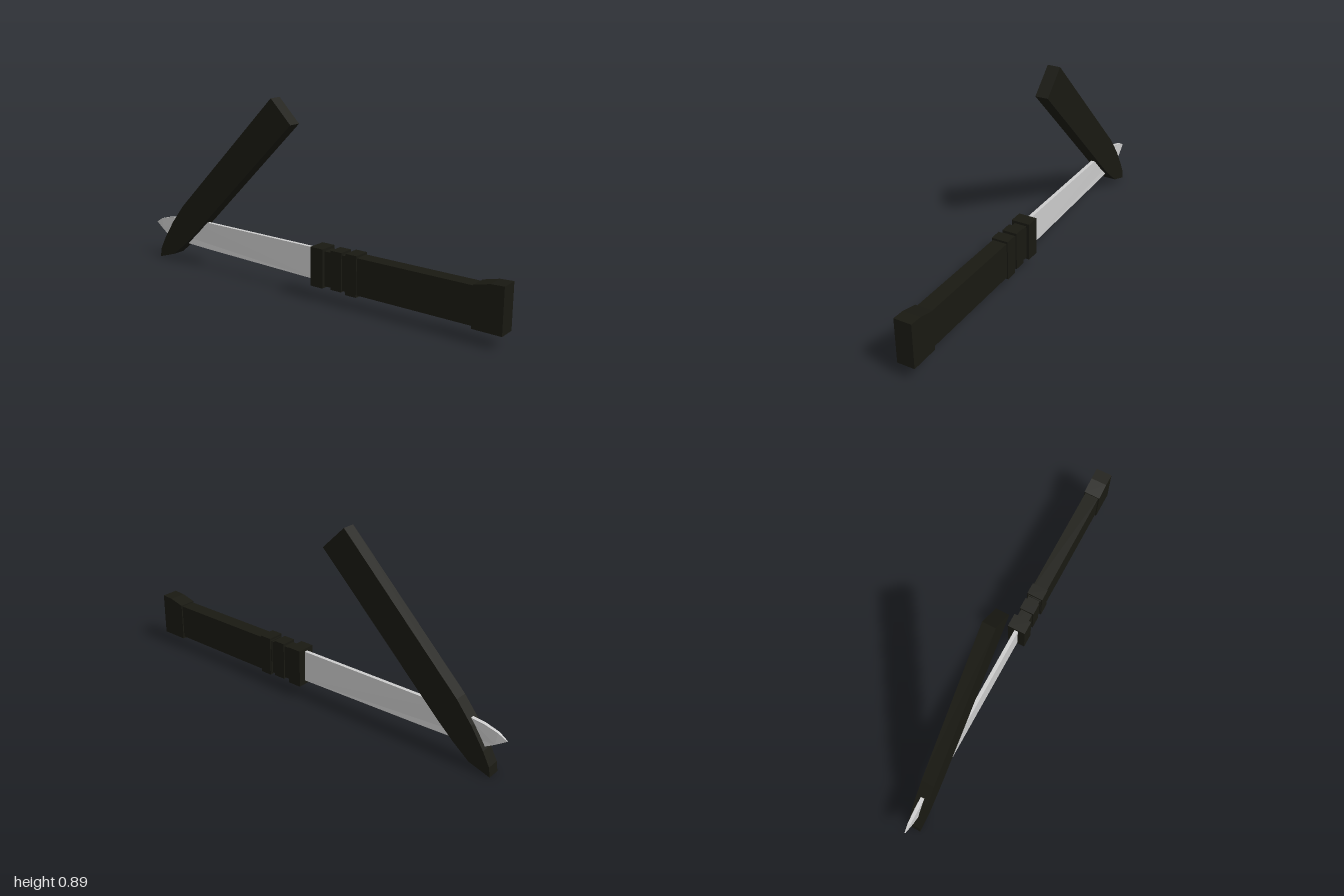
import * as THREE from 'three';

const black = new THREE.MeshStandardMaterial({ color: 0x191912, flatShading: true });
const steel = new THREE.MeshStandardMaterial({ color: 0xcccccc, flatShading: true });

// Side profile given as [z, y] points, extruded symmetrically across x
function slab(name, points, halfWidth, material) {
  const shape = new THREE.Shape(points.map(([z, y]) => new THREE.Vector2(-z, y)));
  const geometry = new THREE.ExtrudeGeometry(shape, { depth: 2 * halfWidth, bevelEnabled: false });
  geometry.translate(0, 0, -halfWidth).rotateY(Math.PI / 2);
  const mesh = new THREE.Mesh(geometry, material);
  mesh.name = name;
  return mesh;
}

// Rectangular block between two z and two y values
function block(name, z0, z1, y0, y1, halfWidth) {
  const mesh = new THREE.Mesh(new THREE.BoxGeometry(2 * halfWidth, y1 - y0, z1 - z0), black);
  mesh.position.set(0, (y0 + y1) / 2, (z0 + z1) / 2);
  mesh.name = name;
  return mesh;
}

export function createModel() {
  const model = new THREE.Group();
  model.name = 'knifeAndSheath';

  // Handle with collar rings and guard
  const handle = new THREE.Group();
  handle.name = 'handle';
  handle.add(
    block('grip', 0.24, 0.9, 0.07, 0.24, 0.035),
    block('neck', 0.08, 0.26, 0.072, 0.235, 0.03),
    block('rearRing', 0.245, 0.303, 0.06, 0.25, 0.04),
    block('middleRing', 0.162, 0.22, 0.065, 0.247, 0.036),
    block('guard', 0.055, 0.123, 0.064, 0.247, 0.045),
    slab('pommel', [[1, 0.06], [1, 0.267], [0.94, 0.264], [0.865, 0.245], [0.865, 0.06]], 0.041, black),
  );
  model.add(handle);

  // Blade, thinned toward the tip
  const blade = slab('blade', [
    [0.08, 0.233], [-0.61, 0.233], [-0.8, 0.228], [-0.89, 0.218], [-0.957, 0.2], [-1, 0.175],
    [-0.95, 0.143], [-0.9, 0.114], [-0.8, 0.102], [-0.61, 0.096], [0.08, 0.083],
  ], 0.009, steel);
  const p = blade.geometry.attributes.position;
  for (let i = 0; i < p.count; i++) {
    const t = THREE.MathUtils.clamp((-p.getZ(i) - 0.9) / 0.1, 0, 1);
    p.setX(i, p.getX(i) * (1 - 0.75 * t * t));
  }
  blade.geometry.computeVertexNormals();
  model.add(blade);

  // Sheath leaning across the blade
  model.add(slab('sheath', [
    [-0.07, 0.78], [-0.183, 0.891], [-0.775, 0.297], [-0.85, 0.203], [-0.912, 0.108], [-0.945, 0.045],
    [-0.952, 0], [-0.85, 0.033], [-0.77, 0.097], [-0.69, 0.17],
  ], 0.031, black));

  return model;
}
